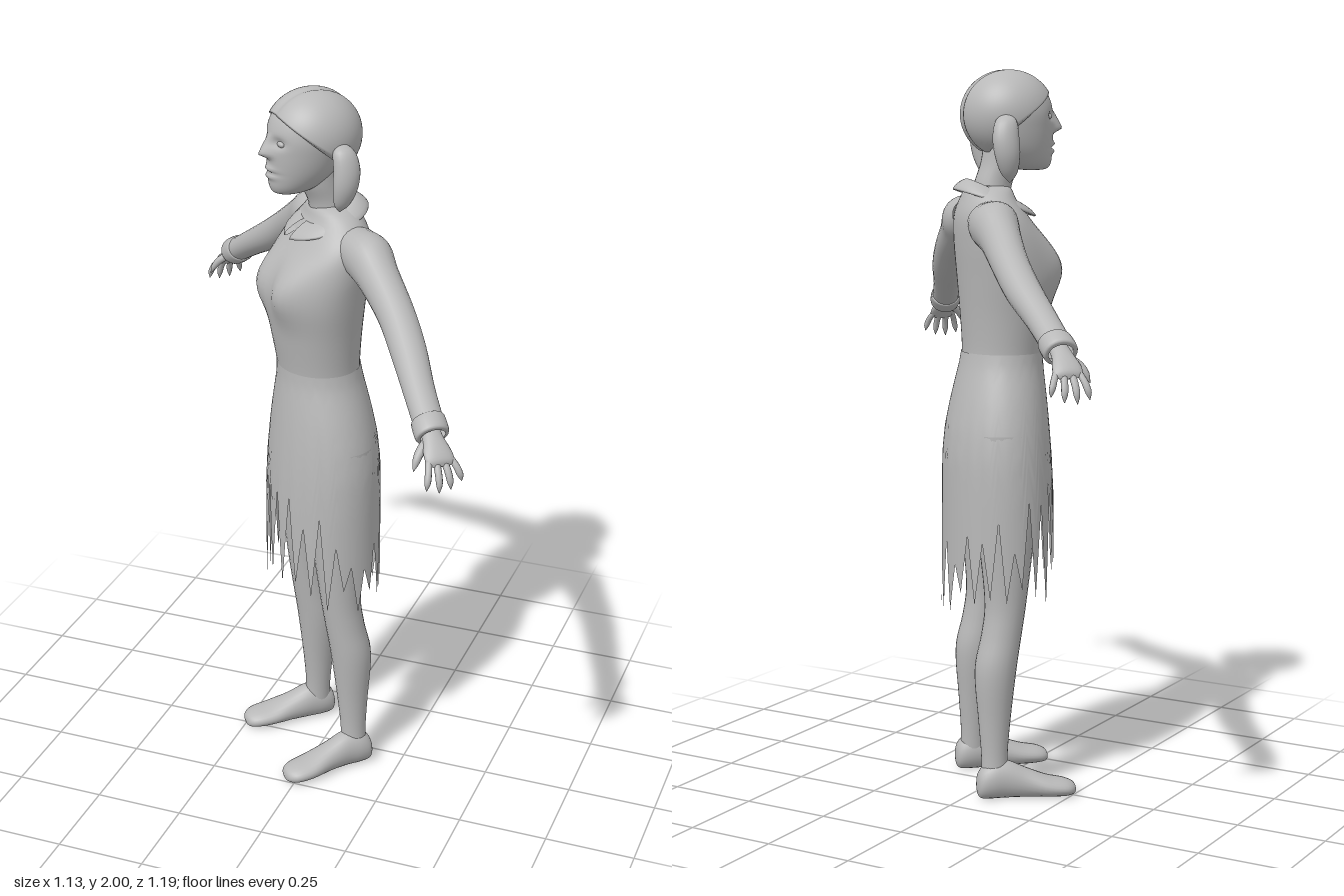
import * as THREE from 'three';

const V = (x, y, z) => new THREE.Vector3(x, y, z);
const UP = V(0, 1, 0), FRONT = V(0, 0, 1);
const bell = (d, w) => Math.exp(-(d * d) / (w * w));

// Surface closed in u (angle) and open in v (0..1)
function grid(nu, nv, fn) {
  const pos = [], idx = [];
  for (let j = 0; j <= nv; j++)
    for (let i = 0; i < nu; i++) pos.push(...fn((i / nu) * Math.PI * 2, j / nv, i).toArray());
  for (let j = 0; j < nv; j++)
    for (let i = 0; i < nu; i++) {
      const k = (i + 1) % nu, a = j * nu + i, b = j * nu + k, c = a + nu, d = b + nu;
      idx.push(a, c, b, b, c, d);
    }
  const g = new THREE.BufferGeometry();
  g.setAttribute('position', new THREE.Float32BufferAttribute(pos, 3));
  g.setIndex(idx);
  g.computeVertexNormals();
  return g;
}

// Smooth loft through rings [x, y, z, radiusA, radiusB] facing along an axis
function loft(rings, axis = UP, ref = FRONT, nu = 24, nv = 24, warp = null) {
  const centres = new THREE.CatmullRomCurve3(rings.map(r => V(r[0], r[1], r[2])), false, 'catmullrom');
  const radii = new THREE.CatmullRomCurve3(rings.map(r => V(r[3], r[4], 0)), false, 'catmullrom');
  const t = axis.clone().normalize();
  const a = t.clone().cross(ref).normalize(), b = a.clone().cross(t);
  return grid(nu, nv, (u, v) => {
    const p = centres.getPoint(v), r = radii.getPoint(v);
    p.addScaledVector(a, Math.max(r.x, 0.001) * Math.cos(u));
    p.addScaledVector(b, Math.max(r.y, 0.001) * Math.sin(u));
    if (warp) warp(p);
    return p;
  });
}

export function createModel() {
  const grey = new THREE.MeshStandardMaterial({ color: 0xb8b8b8, side: THREE.DoubleSide });
  grey.name = 'grey';
  const model = new THREE.Group(), figure = new THREE.Group();
  figure.name = 'figure';
  figure.rotation.y = THREE.MathUtils.degToRad(-46.5);
  model.add(figure);
  const add = (name, geometry) => {
    const m = new THREE.Mesh(geometry, grey);
    m.name = name;
    figure.add(m);
  };
  let seed = 7;
  const rnd = () => (seed = (seed * 16807) % 2147483647) / 2147483647;

  // Blouse body
  add('torso', loft([
    [0, 1.19, 0.015, 0.127, 0.108], [0, 1.25, 0.02, 0.13, 0.112], [0, 1.34, 0.025, 0.142, 0.122],
    [0, 1.44, 0.025, 0.16, 0.13], [0, 1.53, 0.01, 0.17, 0.122], [0, 1.6, -0.012, 0.165, 0.1],
    [0, 1.65, -0.022, 0.125, 0.075], [0, 1.685, -0.02, 0.07, 0.055], [0, 1.69, -0.02, 0.001, 0.001],
  ], UP, FRONT, 48, 40, p => {
    if (p.z > 0) p.z += 0.032 * bell(Math.abs(p.x) - 0.075, 0.055) * bell(p.y - 1.47, 0.075);
  }));

  // Folded collar, open at the front
  add('collar', grid(12, 40, (u, v) => {
    const ang = Math.PI / 2 + 0.15 + v * (Math.PI * 2 - 0.3), s = Math.sin(ang), c = Math.cos(ang);
    const end = Math.abs(v - 0.5) * 2;
    const w = (0.026 + 0.012 * end ** 4) * Math.cos(u), h = 0.008 * Math.sin(u);
    const out = 0.8 * w - 0.55 * h;
    return V(c * (0.088 + out), 1.658 - 0.034 * s - 0.55 * w - 0.8 * h, s * (0.088 + out) - 0.008);
  }));

  // Skirt with a torn hem: [height, half width, half depth, centre z]
  const profile = [
    [0.45, 0.203, 0.155, 0.005], [0.85, 0.202, 0.152, 0.005], [0.95, 0.198, 0.149, 0.003],
    [1.03, 0.186, 0.142, 0.004], [1.1, 0.168, 0.132, 0.008], [1.16, 0.148, 0.122, 0.012],
    [1.2, 0.134, 0.115, 0.015], [1.235, 0.129, 0.112, 0.018],
  ];
  const sizeAt = y => {
    let i = 0;
    while (i < profile.length - 2 && profile[i + 1][0] < y) i++;
    const p = profile[i], q = profile[i + 1], k = (y - p[0]) / (q[0] - p[0]);
    return p.map((n, j) => n + (q[j] - n) * k);
  };
  const spikes = 22, hem = [];
  for (let i = 0; i < spikes * 4; i++) {
    const s = Math.sin((i / (spikes * 4)) * Math.PI * 2);
    if (i % 4 === 0) hem[i] = 0.755 + 0.09 * s + (rnd() - 0.5) * 0.14;
    if (i % 4 === 2) hem[i] = 0.565 + 0.03 * s + (rnd() - 0.5) * 0.1;
  }
  for (let i = 1; i < spikes * 4; i += 2) hem[i] = (hem[i - 1] + hem[(i + 1) % (spikes * 4)]) / 2;
  add('skirt', grid(spikes * 4, 24, (u, v, i) => {
    const y = hem[i] + (1.235 - hem[i]) * v, [, rx, rz, cz] = sizeAt(y);
    return V(rx * Math.cos(u), y, cz + rz * Math.sin(u));
  }));

  // Neck and head
  add('neck', loft([[0, 1.6, -0.02, 0.06, 0.055], [0, 1.69, -0.008, 0.05, 0.052],
    [0, 1.75, 0.015, 0.052, 0.056], [0, 1.82, 0.03, 0.055, 0.06]]));
  add('head', loft([
    [0, 1.728, 0.1, 0.001, 0.001], [0, 1.732, 0.1, 0.03, 0.04], [0, 1.75, 0.085, 0.055, 0.069],
    [0, 1.79, 0.065, 0.079, 0.092], [0, 1.84, 0.055, 0.094, 0.104], [0, 1.89, 0.05, 0.1, 0.108],
    [0, 1.94, 0.045, 0.09, 0.094], [0, 1.975, 0.04, 0.055, 0.06], [0, 1.985, 0.04, 0.001, 0.001],
  ], UP, FRONT, 72, 72, p => {
    if (p.z < 0.06) return;
    const x = Math.abs(p.x), slope = THREE.MathUtils.clamp((1.895 - p.y) / 0.055, 0, 1);
    const nose = slope * (1 - THREE.MathUtils.smoothstep(1.845 - p.y, 0, 0.022));
    p.z += 0.03 * nose * bell(x, 0.011 + 0.008 * slope);
    p.z -= 0.013 * bell(x - 0.038, 0.022) * bell(p.y - 1.876, 0.014);
    p.z += 0.009 * bell(x, 0.026) * (bell(p.y - 1.8, 0.007) + bell(p.y - 1.78, 0.007));
    p.z -= 0.006 * bell(x, 0.03) * bell(p.y - 1.79, 0.004);
  }));
  for (const s of [1, -1]) {
    const eye = new THREE.SphereGeometry(0.013, 16, 10);
    eye.scale(1.2, 0.65, 0.7).translate(s * 0.038, 1.874, 0.138);
    add(s > 0 ? 'leftEye' : 'rightEye', eye);
  }

  // Hair cap with a centre parting, lower at the nape than over the brow
  add('hair', grid(64, 28, (u, v) => {
    const s = Math.sin(u), phi = (1.85 - 0.8 * s) * (1 - v);
    const pull = v === 0 ? 0.9 : 1, r = Math.sin(phi) * pull;
    const x = 0.122 * r * Math.cos(u), groove = 1 - 0.05 * bell(x, 0.014);
    return V(x, 1.88 + 0.122 * Math.cos(phi) * groove, 0.033 + 0.13 * r * s * groove);
  }));

  for (const s of [1, -1]) {
    const side = s > 0 ? 'left' : 'right';
    const rings = list => list.map(([x, ...rest]) => [s * x, ...rest]);

    // Bunch of hair beside the neck
    add(side + 'Pigtail', loft(rings([
      [0.105, 1.885, 0.005, 0.001, 0.001], [0.122, 1.865, 0, 0.022, 0.028], [0.136, 1.82, -0.004, 0.026, 0.036],
      [0.138, 1.77, 0, 0.026, 0.034], [0.13, 1.725, 0.006, 0.018, 0.022], [0.122, 1.7, 0.01, 0.001, 0.001],
    ]).reverse(), UP, FRONT, 18, 20));

    // Sleeve and cuff
    const along = V(s * 0.82, -0.5, 0.05);
    add(side + 'Sleeve', loft(rings([
      [0.09, 1.6, -0.04, 0.06, 0.06], [0.17, 1.588, -0.045, 0.073, 0.066], [0.25, 1.555, -0.045, 0.059, 0.055],
      [0.36, 1.497, -0.045, 0.049, 0.049], [0.46, 1.437, -0.035, 0.045, 0.047], [0.57, 1.375, -0.015, 0.038, 0.041],
      [0.67, 1.318, 0, 0.035, 0.039],
    ]), along, FRONT, 24, 30));
    add(side + 'Cuff', loft(rings([
      [0.645, 1.332, -0.004, 0.034, 0.038], [0.65, 1.329, -0.003, 0.04, 0.044],
      [0.685, 1.309, 0.002, 0.04, 0.044], [0.69, 1.306, 0.002, 0.028, 0.032],
    ]), along, FRONT, 24, 12));

    // Hand: palm, four fingers and thumb
    add(side + 'Palm', loft(rings([
      [0.66, 1.32, 0, 0.02, 0.024], [0.695, 1.3, 0.004, 0.018, 0.028], [0.725, 1.278, 0.006, 0.016, 0.037],
      [0.745, 1.26, 0.006, 0.012, 0.036], [0.752, 1.252, 0.006, 0.001, 0.02],
    ]), along, FRONT, 18, 14));
    for (let f = 0; f < 4; f++) {
      const z = 0.034 - f * 0.019, spread = (1.5 - f) * 0.011, len = [0.92, 1.05, 1, 0.8][f];
      add(side + 'Finger' + (f + 1), loft(rings([
        [0.735, 1.266, z, 0.009, 0.009], [0.735 + 0.022 * len, 1.266 - 0.024 * len, z + spread * 0.6, 0.009, 0.009],
        [0.735 + 0.034 * len, 1.266 - 0.05 * len, z + spread, 0.008, 0.008],
        [0.735 + 0.036 * len, 1.266 - 0.07 * len, z + spread * 1.2, 0.001, 0.001],
      ]), V(s * 0.5, -0.8, 0), FRONT, 10, 10));
    }
    add(side + 'Thumb', loft(rings([
      [0.69, 1.297, 0.018, 0.012, 0.012], [0.705, 1.278, 0.044, 0.012, 0.011],
      [0.715, 1.256, 0.06, 0.009, 0.009], [0.72, 1.236, 0.068, 0.001, 0.001],
    ]), V(s * 0.35, -0.6, 0.7), UP, 10, 10));

    // Leg and foot
    add(side + 'Leg', loft(rings([
      [0.137, 0.04, -0.035, 0.034, 0.038], [0.132, 0.12, -0.035, 0.034, 0.037], [0.128, 0.22, -0.034, 0.041, 0.045],
      [0.124, 0.36, -0.03, 0.056, 0.058], [0.12, 0.46, -0.012, 0.054, 0.056], [0.117, 0.55, 0, 0.055, 0.058],
      [0.112, 0.7, 0.003, 0.068, 0.074], [0.105, 0.85, 0.002, 0.083, 0.09], [0.098, 1.02, 0, 0.09, 0.098],
    ]), UP, FRONT, 24, 36));
    add(side + 'Foot', loft(rings([
      [0.14, 0.035, -0.088, 0.001, 0.001], [0.14, 0.04, -0.08, 0.028, 0.036], [0.14, 0.05, -0.05, 0.039, 0.052],
      [0.141, 0.052, -0.005, 0.04, 0.054], [0.146, 0.04, 0.05, 0.042, 0.042], [0.153, 0.028, 0.11, 0.05, 0.03],
      [0.157, 0.022, 0.16, 0.046, 0.024], [0.156, 0.018, 0.185, 0.028, 0.016], [0.155, 0.016, 0.192, 0.001, 0.001],
    ]), FRONT, UP, 24, 32, p => { p.y = Math.max(p.y, 0); }));
  }
  return model;
}
